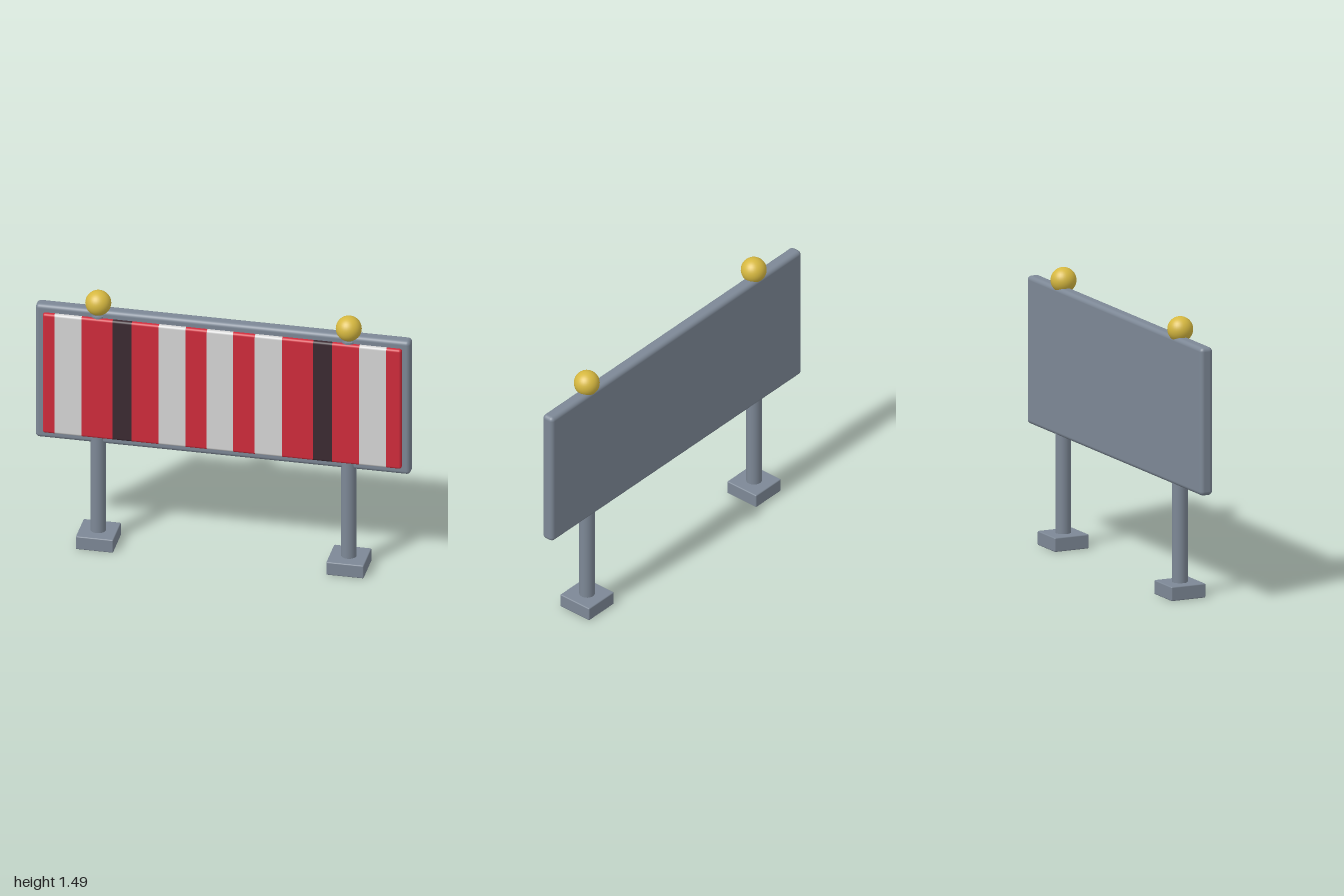
import * as THREE from 'three';
import { RoundedBoxGeometry } from 'three/addons/geometries/RoundedBoxGeometry.js';

const material = (name, color) => {
  const m = new THREE.MeshStandardMaterial({ color });
  m.name = name;
  return m;
};

export function createModel() {
  const steel = material('steel grey', 0x7d8896);
  const amber = material('amber', 0xd6b840);
  const red = material('stripe red', 0xd02c3c);
  const white = material('stripe white', 0xd6d6d6);
  const dark = material('stripe dark', 0x3c2a32);

  const model = new THREE.Group();
  model.name = 'roadBarrier';
  const add = (name, geometry, mat, x, y, z) => {
    const mesh = new THREE.Mesh(geometry, mat);
    mesh.name = name;
    mesh.position.set(x, y, z);
    model.add(mesh);
  };

  // Backing board with rounded edges
  add('backBoard', new RoundedBoxGeometry(2, 0.79, 0.072, 4, 0.022), steel, 0, 0.995, -0.01);

  // Striped panel: one rounded box cut into slices by clamping x
  const edges = [-0.957, -0.893, -0.749, -0.583, -0.481, -0.337, -0.193, -0.08,
    0.059, 0.176, 0.321, 0.487, 0.588, 0.733, 0.877, 0.957];
  const colors = [red, white, red, dark, red, white, red, white,
    red, white, red, dark, red, white, red];
  colors.forEach((mat, i) => {
    const geometry = new RoundedBoxGeometry(1.914, 0.708, 0.055, 4, 0.014);
    const p = geometry.attributes.position;
    for (let v = 0; v < p.count; v++) {
      p.setX(v, THREE.MathUtils.clamp(p.getX(v), edges[i], edges[i + 1]));
    }
    add('stripe' + (i + 1), geometry, mat, 0, 0.995, 0.0195);
  });

  // Feet, posts and warning lamps
  for (const side of [-1, 1]) {
    const prefix = side > 0 ? 'left' : 'right';
    const x = side * 0.668;
    add(prefix + 'Foot', new RoundedBoxGeometry(0.2, 0.076, 0.2, 2, 0.006), steel, x, 0.038, 0);
    add(prefix + 'Post', new THREE.CylinderGeometry(0.041, 0.041, 1.29, 24), steel, x, 0.713, 0);
    add(prefix + 'Lamp', new THREE.SphereGeometry(0.068, 32, 20), amber, x, 1.425, 0.002);
  }
  return model;
}
